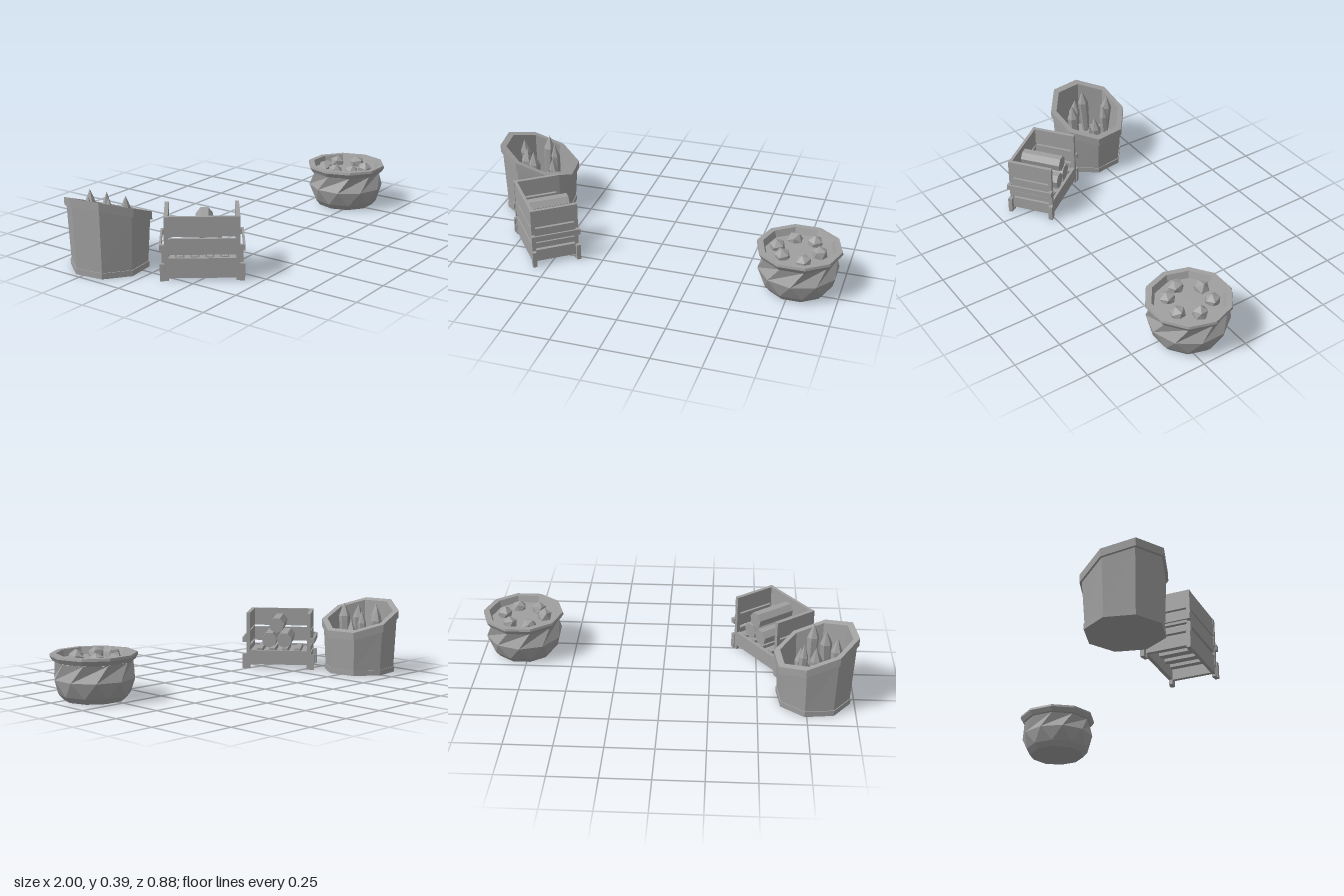
import * as THREE from 'three';

const grey = new THREE.MeshStandardMaterial({ color: 0xa0a0a0, flatShading: true });
grey.name = 'stoneGrey';

function add(parent, name, geometry, x = 0, y = 0, z = 0) {
  const mesh = new THREE.Mesh(geometry, grey);
  mesh.name = name;
  mesh.position.set(x, y, z);
  parent.add(mesh);
  return mesh;
}

function box(parent, name, w, h, d, x, y, z) {
  return add(parent, name, new THREE.BoxGeometry(w, h, d), x, y, z);
}

// Faceted skin over rings of n corners; ring = [radius, y, turn, slope]
function rings(list, n, start = 0, slopeAngle = 0) {
  const pos = [];
  const point = ([r, y, turn = 0, slope = 0], i) => {
    const a = start + turn + (i * Math.PI * 2) / n;
    return [r * Math.cos(a), y - slope * r * Math.cos(a - slopeAngle), r * Math.sin(a)];
  };
  for (let k = 0; k < list.length - 1; k++) {
    for (let i = 0; i < n; i++) {
      const a = point(list[k], i), b = point(list[k + 1], i);
      const c = point(list[k], i + 1), d = point(list[k + 1], i + 1);
      if (list[k][0] > 0) pos.push(...a, ...b, ...c);
      if (list[k + 1][0] > 0) pos.push(...c, ...b, ...d);
    }
  }
  const g = new THREE.BufferGeometry();
  g.setAttribute('position', new THREE.Float32BufferAttribute(pos, 3));
  g.computeVertexNormals();
  return g;
}

// Ten-sided cauldron with a twisted belly and lumps inside
function cauldron() {
  const g = new THREE.Group();
  g.name = 'cauldron';
  const half = Math.PI / 10;
  add(g, 'cauldronBody', rings([
    [0, 0], [0.155, 0], [0.18, 0.03], [0.208, 0.11, half], [0.195, 0.195],
  ], 10));
  add(g, 'cauldronRim', rings([
    [0.19, 0.195], [0.205, 0.198], [0.22, 0.222], [0.217, 0.235], [0.188, 0.235], [0.175, 0.2], [0, 0.2],
  ], 10));
  const lumps = [[-0.045, -0.107], [0.061, -0.096], [0.104, 0.011], [0.04, 0.096], [-0.072, 0.075], [-0.115, -0.005]];
  lumps.forEach(([x, z], i) => {
    const lump = add(g, 'lump', new THREE.IcosahedronGeometry(0.043, 0), x, 0.203 + 0.004 * (i % 3), z);
    lump.rotation.set(i * 1.3, i * 0.9, i * 0.5);
  });
  g.position.set(0.778, 0, 0.185);
  return g;
}

// Eight-sided bin with a sloping rim, holding pointed stakes
function bin() {
  const g = new THREE.Group();
  g.name = 'stakeBin';
  const s = 0.37, start = Math.PI / 12, tilt = -Math.PI / 24;
  add(g, 'binBody', rings([
    [0, 0], [0.197, 0], [0.198, 0.03], [0.193, 0.03], [0.206, 0.275, 0, s],
    [0.217, 0.275, 0, s], [0.217, 0.317, 0, s], [0.185, 0.317, 0, s], [0.175, 0.11], [0, 0.11],
  ], 8, start, tilt));
  // x, z, tip height, radius, lean
  const stakes = [
    [-0.095, -0.045, 0.375, 0.03, 0.06], [0.0, -0.11, 0.37, 0.032, -0.06], [0.085, -0.015, 0.3, 0.028, 0.1],
    [-0.06, 0.065, 0.37, 0.032, -0.05], [0.015, 0.095, 0.378, 0.032, 0.05],
    [0.07, -0.075, 0.355, 0.024, 0.05], [0.045, 0.03, 0.24, 0.024, -0.1],
  ];
  stakes.forEach(([x, z, top, r, lean], i) => {
    const h = top - 0.11;
    const stake = add(g, 'stake', rings([
      [r * 0.7, 0], [r, h - 0.075], [0, h],
    ], 6, i), x, 0.11, z);
    stake.rotation.set(lean, 0, lean * 0.6);
  });
  g.position.set(-0.789, 0, -0.238);
  return g;
}

// Log rack: slatted floor, planked back and ends, open front (local -z)
function rack() {
  const g = new THREE.Group();
  g.name = 'logRack';
  for (const [y, h] of [[0.27, 0.1], [0.17, 0.08], [0.062, 0.1]]) {
    box(g, 'backPlank', 0.36, h, 0.016, 0, y, 0.115);
  }
  for (const side of [-1, 1]) {
    const x = side * 0.172;
    box(g, 'topEndPlank', 0.02, 0.095, 0.25, x, 0.272, 0);
    box(g, 'middleEndPlank', 0.02, 0.07, 0.23, x, 0.18, 0);
    box(g, 'lowEndPlank', 0.02, 0.03, 0.25, x, 0.115, 0);
    box(g, 'baseEndPlank', 0.02, 0.065, 0.23, x, 0.055, 0);
    box(g, 'outerBar', 0.01, 0.03, 0.26, side * 0.201, 0.166, 0);
    for (const end of [-1, 1]) {
      box(g, 'cornerPost', 0.02, 0.32, 0.02, x, 0.16, end * 0.115);
      box(g, 'foot', 0.024, 0.085, 0.022, side * 0.192, 0.0425, end * 0.119);
      box(g, 'barBracket', 0.02, 0.03, 0.02, side * 0.19, 0.166, end * 0.12);
    }
  }
  box(g, 'frontBeam', 0.35, 0.08, 0.02, 0, 0.065, -0.115);
  // Floor slats alternate in height
  for (let i = 0; i < 9; i++) {
    box(g, 'floorSlat', 0.03, 0.025, 0.22, -0.144 + i * 0.036, 0.09 + (i % 2) * 0.014, 0);
  }
  // Stacked logs
  for (const [x, y] of [[-0.033, 0.165], [0.053, 0.165], [0.012, 0.25]]) {
    const log = add(g, 'log', new THREE.CylinderGeometry(0.044, 0.044, 0.225, 7), x, y, -0.007);
    log.rotation.x = Math.PI / 2;
  }
  g.position.set(-0.59, 0, 0.186);
  g.rotation.y = -0.921;
  return g;
}

export function createModel() {
  const model = new THREE.Group();
  model.name = 'campSupplies';
  model.add(cauldron(), bin(), rack());
  return model;
}
